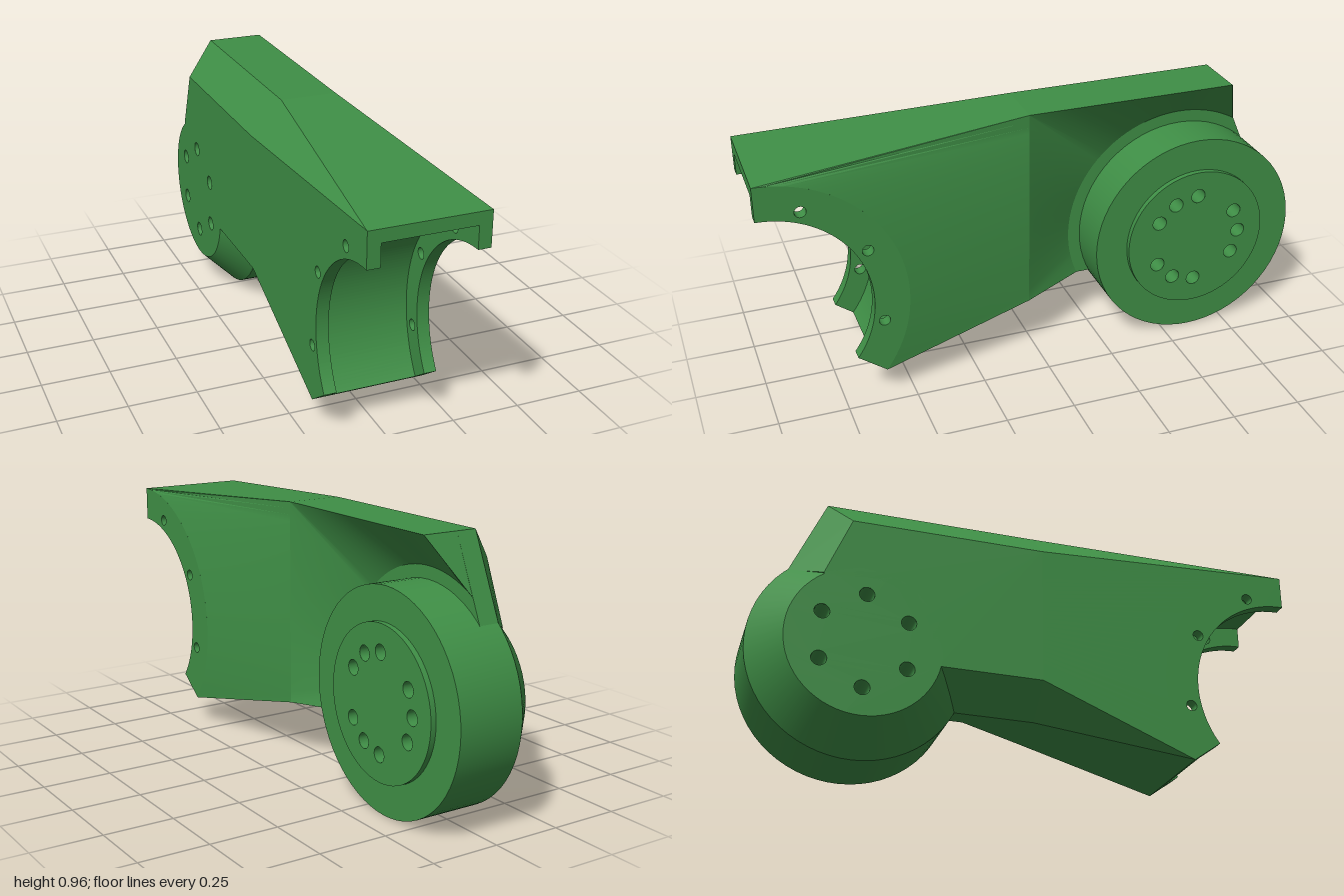
import * as THREE from 'three';
import { toCreasedNormals } from 'three/addons/utils/BufferGeometryUtils.js';

const material = new THREE.MeshStandardMaterial({ color: 0x3f8f46, side: THREE.DoubleSide });
const V = (x, y, z) => new THREE.Vector3(x, y, z);
const rad = THREE.MathUtils.degToRad;
const lerp = THREE.MathUtils.lerp;

const HUB = { z: -0.607, y: 0.395 };   // centre of the round joint
const YOKE = { z: 1, y: 0.4 };         // centre of the front cradle
const YOKE_END = rad(216);             // cradle runs from straight up to here

// point on a circle in the side (z, y) plane
const polar = (c, r, a) => [c.z + r * Math.cos(a), c.y + r * Math.sin(a)];

// strip of quads between two equally long rows of points
function strip(a, b, closed = false) {
  const pos = [];
  const n = a.length;
  for (let i = 0; i < (closed ? n : n - 1); i++) {
    const j = (i + 1) % n;
    for (const p of [a[i], b[i], b[j], a[i], b[j], a[j]]) pos.push(p.x, p.y, p.z);
  }
  const g = new THREE.BufferGeometry();
  g.setAttribute('position', new THREE.Float32BufferAttribute(pos, 3));
  return toCreasedNormals(g, 0.4);
}

// turn geometry drawn in (z, y) so that its depth runs from x towards -x
const toSide = (g, x) => g.rotateY(-Math.PI / 2).translate(x, 0, 0);

function circleHole(shape, [z, y], r) {
  shape.holes.push(new THREE.Path().absarc(z, y, r, 0, Math.PI * 2, true));
}

// front cradle: thin web between two drilled flanges
function makeCradle(add) {
  const sector = (inner) => {
    const s = new THREE.Shape();
    s.absarc(YOKE.z, YOKE.y, 0.5, Math.PI / 2, YOKE_END, false);
    s.absarc(YOKE.z, YOKE.y, inner, YOKE_END, Math.PI / 2, true);
    return s;
  };
  const extrude = (s, depth, x) => toSide(
    new THREE.ExtrudeGeometry(s, { depth, bevelEnabled: false, curveSegments: 40 }), x);
  add('cradleWeb', extrude(sector(0.455), 0.32, 0.16));
  for (const [name, x] of [['leftFlange', 0.205], ['rightFlange', -0.16]]) {
    const s = sector(0.375);
    for (const a of [111, 151, 192]) circleHole(s, polar(YOKE, 0.415, rad(a)), 0.02);
    add(name, extrude(s, 0.045, x));
  }
}

// neck: blends the cradle's back into the chamfered rear section
function makeNeck(add) {
  const N = 32, Z = 0.03, front = [], back = [];
  const arc = (x, t) => {
    const [z, y] = polar(YOKE, 0.5, lerp(Math.PI / 2, YOKE_END, t));
    return V(x, y, z);
  };
  for (let i = 0; i <= N; i++) {
    front.push(arc(-0.205, i / N));
    back.push(V(-0.205, lerp(0.85, 0.335, i / N), Z));
  }
  front.push(arc(-0.205, 1));
  back.push(V(-0.09, 0.22, Z));
  for (let i = N; i >= 0; i--) {
    front.push(arc(0.205, i / N));
    back.push(V(0.115, lerp(0.965, 0.22, i / N), Z));
  }
  front.push(arc(-0.205, 0));
  back.push(V(-0.09, 0.965, Z));
  add('neck', strip(front, back, true));
}

// rear plate with chamfered edges, notched where the hub passes through
function makeRearPlate(add) {
  const notch = [];
  for (let i = 0; i <= 24; i++) notch.push(polar(HUB, 0.24, rad(lerp(123, -24, i / 24))));
  const outer = [[-0.258, 0.22], [0.03, 0.22], [0.03, 0.965], [-0.745, 0.965], [-0.87, 0.68], ...notch];
  const inset = [[-0.35, 0.335], [0.03, 0.335], [0.03, 0.85], [-0.67, 0.85], [-0.76, 0.63], ...notch];
  const ring = (pts, x) => pts.map(([z, y]) => V(x, y, z));
  const cap = (pts, x) => toSide(
    new THREE.ShapeGeometry(new THREE.Shape(pts.map(([z, y]) => new THREE.Vector2(z, y)))), x);
  add('rearPlateChamfer', strip(ring(inset, -0.205), ring(outer, -0.09), true));
  add('rearPlateEdge', strip(ring(outer, -0.09), ring(outer, -0.015), true));
  add('rearPlateOuterFace', cap(inset, -0.205));
  add('rearPlateInnerFace', cap(outer, -0.015));
}

// rim: wall sloping from the rear outline down to the clearance circle
function makeRim(add) {
  // angle on circle, outline point, foot of the outer wall
  const keys = [
    [-23.7, [0.03, 0.22], [-0.209, 0.22]],
    [-15.4, [0.03, 0.22], [0.03, 0.22]],
    [41.8, [0.03, 0.965], [0.03, 0.965]],
    [103.6, [-0.745, 0.965], [-0.745, 0.965]],
    [120.9, [-0.745, 0.965], [-0.83, 0.768]],
  ];
  const edge = [], foot = [], circle = [];
  for (let k = 0; k < keys.length - 1; k++) {
    const [a0, e0, f0] = keys[k], [a1, e1, f1] = keys[k + 1];
    for (let i = 0; i <= 16; i++) {
      const t = i / 16;
      const [z, y] = polar(HUB, 0.435, rad(lerp(a0, a1, t)));
      circle.push(V(-0.015, y, z));
      edge.push(V(0.115, lerp(e0[1], e1[1], t), lerp(e0[0], e1[0], t)));
      foot.push(V(-0.015, lerp(f0[1], f1[1], t), lerp(f0[0], f1[0], t)));
    }
  }
  add('rimInnerWall', strip(edge, circle));
  add('rimOuterWall', strip(foot, edge));
}

// round hub with a raised face, six through holes and three blind ones
function makeHub(add) {
  const profile = [[0.275, -0.205], [0.39, -0.09], [0.39, 0.155], [0.27, 0.155], [0.27, 0.175]]
    .map(([r, x]) => new THREE.Vector2(r, x));
  const body = new THREE.LatheGeometry(profile, 64).rotateZ(-Math.PI / 2).translate(0, HUB.y, HUB.z);
  add('hubBody', toCreasedNormals(body, 0.4));

  const through = [30, 90, 150, 210, 270, 330], blind = [-60, 60, 180];
  const face = (r, angles, x) => {
    const s = new THREE.Shape().absarc(HUB.z, HUB.y, r, 0, Math.PI * 2, false);
    for (const a of angles) circleHole(s, polar(HUB, 0.174, rad(a)), 0.027);
    return toSide(new THREE.ShapeGeometry(s, 32), x);
  };
  add('hubFrontFace', face(0.27, [...through, ...blind], 0.175));
  add('hubBackFace', face(0.275, through, -0.205));

  const bore = (a, x0) => {
    const [z, y] = polar(HUB, 0.174, rad(a));
    add('hubBore', new THREE.CylinderGeometry(0.027, 0.027, 0.175 - x0, 32, 1, true)
      .rotateZ(-Math.PI / 2).translate((0.175 + x0) / 2, y, z));
    return [z, y];
  };
  for (const a of through) bore(a, -0.205);
  for (const a of blind) {
    const [z, y] = bore(a, 0.05);
    add('boreBottom', new THREE.CircleGeometry(0.027, 32).rotateY(Math.PI / 2).translate(0.05, y, z));
  }
}

export function createModel() {
  const model = new THREE.Group();
  model.name = 'linkArm';
  const add = (name, geometry) => {
    const mesh = new THREE.Mesh(geometry, material);
    mesh.name = name;
    model.add(mesh);
  };
  makeCradle(add);
  makeNeck(add);
  makeRearPlate(add);
  makeRim(add);
  makeHub(add);
  return model;
}
